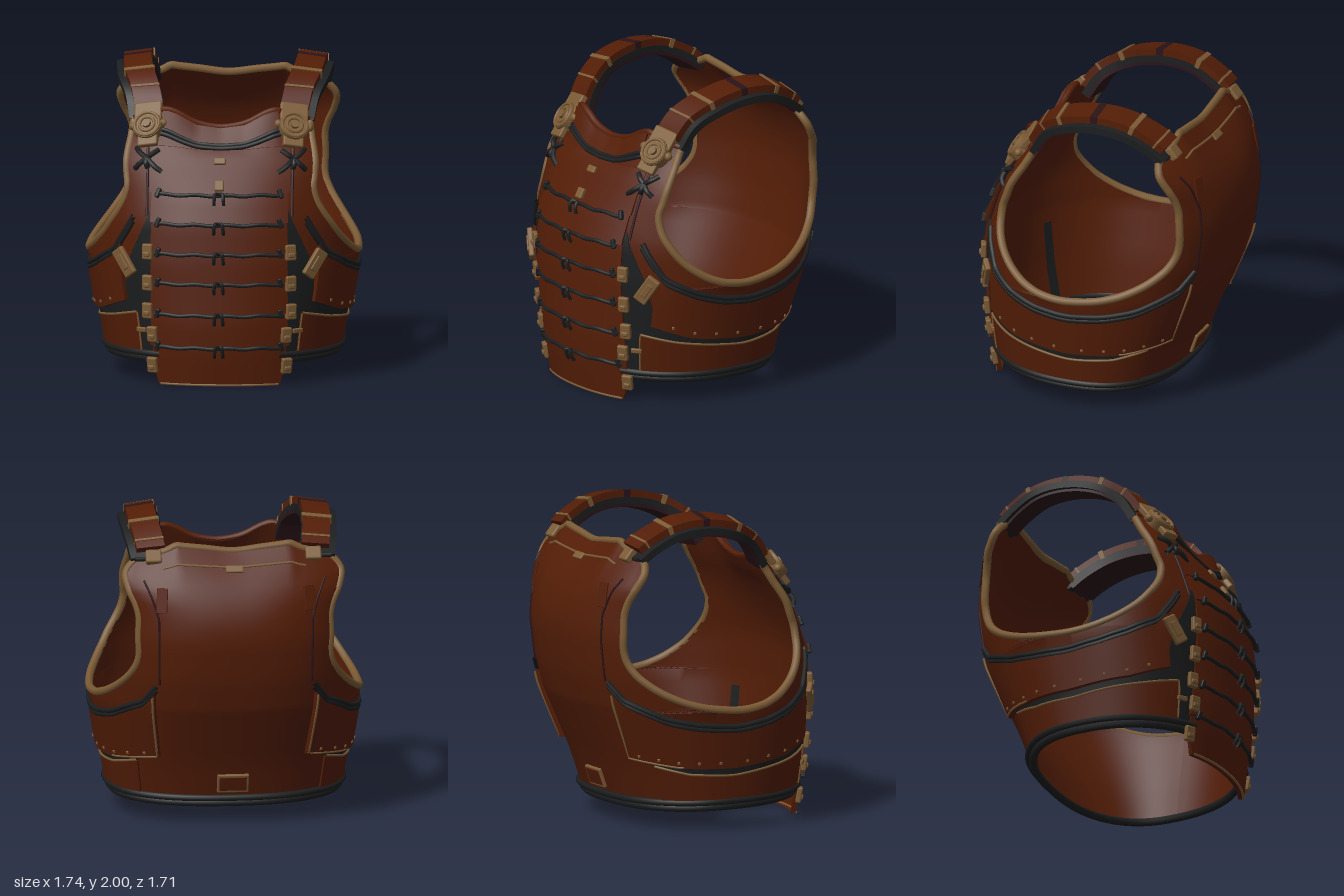
import * as THREE from 'three';
import { toCreasedNormals } from 'three/addons/utils/BufferGeometryUtils.js';
import { RoundedBoxGeometry } from 'three/addons/geometries/RoundedBoxGeometry.js';

const V = (x, y, z) => new THREE.Vector3(x, y, z);
const PI = Math.PI, ZC = 0.05;
const clamp = THREE.MathUtils.clamp, lerp = THREE.MathUtils.lerp;
// piecewise linear curve through [input, output] pairs
const curve = (...k) => t => {
  if (t <= k[0][0]) return k[0][1];
  for (let i = 1; i < k.length; i++)
    if (t <= k[i][0]) return lerp(k[i - 1][1], k[i][1], (t - k[i - 1][0]) / (k[i][0] - k[i - 1][0]));
  return k[k.length - 1][1];
};

// torso profiles by height: half widths, depths, roundness and armhole edges
const widthF = curve([0, 0.72], [0.15, 0.735], [0.4, 0.775], [0.6, 0.82], [0.78, 0.86], [1, 0.865], [1.25, 0.85], [1.4, 0.82], [1.55, 0.73], [1.65, 0.67], [1.75, 0.65]);
const widthB = curve([0, 0.72], [0.15, 0.735], [0.4, 0.775], [0.6, 0.82], [0.78, 0.86], [1, 0.875], [1.5, 0.87], [1.65, 0.9], [1.8, 0.9]);
const depthF = curve([0, 0.71], [0.2, 0.75], [0.4, 0.775], [0.8, 0.785], [1.05, 0.775], [1.2, 0.725], [1.4, 0.62], [1.55, 0.53], [1.72, 0.46]);
const depthB = curve([0.12, 0.48], [0.2, 0.51], [0.4, 0.59], [0.6, 0.68], [0.8, 0.77], [1, 0.825], [1.25, 0.855], [1.4, 0.84], [1.55, 0.78], [1.65, 0.71], [1.72, 0.65], [1.8, 0.58]);
const roundF = curve([1.2, 2.2], [1.65, 3]);
const roundB = curve([0.78, 2.4], [1.4, 2.5], [1.65, 3.2], [1.8, 4]);
const holeF = curve([0.78, 0.05], [0.785, 0.128], [0.8, 0.206], [0.825, 0.28], [0.85, 0.335], [0.9, 0.41], [0.95, 0.465], [1.02, 0.515], [1.1, 0.55], [1.17, 0.56], [1.25, 0.555], [1.4, 0.5], [1.55, 0.42], [1.7, 0.35]);
const holeB = curve([0.78, 0.05], [0.785, -0.062], [0.8, -0.17], [0.825, -0.28], [0.85, -0.355], [0.9, -0.46], [0.95, -0.535], [1.02, -0.61], [1.1, -0.655], [1.2, -0.68], [1.4, -0.67], [1.5, -0.65], [1.6, -0.61], [1.7, -0.57], [1.8, -0.54]);
const neckF = curve([0, -0.09], [0.15, -0.07], [0.28, 0], [0.35, 0.02], [0.55, -0.05]);
const neckB = curve([0, -0.01], [0.36, 0.03], [0.42, 0], [0.64, -0.07]);
const power = (v, e) => Math.sign(v) * Math.abs(v) ** e;

// point on the torso: angle a from the front centre towards +x, height y, distance off the skin
function at(a, y, off = 0) {
  const c = Math.cos(a), front = c >= 0, n = (front ? roundF : roundB)(y);
  const x = ((front ? widthF : widthB)(y) + off) * power(Math.sin(a), 2 / n);
  const z = ZC + ((front ? depthF(y) - ZC : depthB(y) + ZC) + off) * power(c, 2 / n);
  const top = front ? clamp((y - 1.45) / 0.25, 0, 1) * neckF(Math.abs(x)) : clamp((y - 1.55) / 0.25, 0, 1) * neckB(Math.abs(x));
  return V(x, y + top - 0.014 * (1 - c) * clamp((0.37 - y) / 0.2, 0, 1), z);
}
// angle on the front that gives a certain x
const ax = (x, y) => Math.asin(power(clamp(x / widthF(y), -1, 1), roundF(y) / 2));
const edgeF = y => y <= 0.78 ? PI / 2 : Math.acos(((holeF(y) - ZC) / (depthF(y) - ZC)) ** (roundF(y) / 2));
const edgeB = y => y <= 0.78 ? PI / 2 : Math.acos(clamp((ZC - holeB(y)) / (depthB(y) + ZC), 0, 1) ** (roundB(y) / 2));

export function createModel() {
  const model = new THREE.Group();
  const mat = (name, color) => Object.assign(new THREE.MeshStandardMaterial({ color, side: THREE.DoubleSide }), { name });
  const leather = mat('leather', 0x531d06), brass = mat('brass', 0x7b5b35);
  const cloth = mat('dark cloth', 0x1c1d1e), lining = mat('plum lining', 0x2a1318);

  const add = (name, geo, m, parent = model) => {
    const mesh = new THREE.Mesh(geo, m);
    mesh.name = name;
    parent.add(mesh);
    return mesh;
  };
  // surface from a grid of points
  function grid(name, m, nu, nv, fn) {
    const pos = [], idx = [];
    for (let j = 0; j <= nv; j++) for (let i = 0; i <= nu; i++) pos.push(...fn(i, j).toArray());
    for (let j = 0; j < nv; j++) for (let i = 0; i < nu; i++) {
      const p = j * (nu + 1) + i, q = p + nu + 1;
      idx.push(p, p + 1, q, p + 1, q + 1, q);
    }
    const g = new THREE.BufferGeometry();
    g.setAttribute('position', new THREE.Float32BufferAttribute(pos, 3));
    g.setIndex(idx);
    return add(name, toCreasedNormals(g, 0.6), m);
  }
  // raised plate on the torso with edges turned down to the skin; fn(u, v) gives [angle, height]
  const plate = (name, m, fn, off, nu = 24, nv = 6, flare = 0) => grid(name, m, nu + 2, nv + 2, (i, j) => {
    const u = clamp((i - 1) / nu, 0, 1), v = clamp((j - 1) / nv, 0, 1);
    const rim = i === 0 || j === 0 || i === nu + 2 || j === nv + 2;
    return at(...fn(u, v), rim ? -0.004 : off + flare * (1 - v));
  });
  const tube = (name, m, pts, r, closed = false) =>
    add(name, new THREE.TubeGeometry(new THREE.CatmullRomCurve3(pts, closed), pts.length * 4, r, 7, closed), m);
  const line = (n, fn) => Array.from({ length: n + 1 }, (_, i) => fn(i / n));
  // set an object on the torso, facing outwards
  function place(obj, a, y, off, roll = 0) {
    const t = at(a + 0.04, y).sub(at(a - 0.04, y)).normalize();
    const n = t.clone().cross(at(a, y + 0.02).sub(at(a, y - 0.02))).normalize();
    obj.quaternion.setFromRotationMatrix(new THREE.Matrix4().makeBasis(t, n.clone().cross(t), n));
    obj.rotateZ(roll);
    obj.position.copy(at(a, y, off));
    return obj;
  }
  const block = (name, m, w, h, d, a, y, off, roll) =>
    place(add(name, new RoundedBoxGeometry(w, h, d, 2, Math.min(w, h, d) * 0.3), m), a, y, off, roll);

  // torso shell, outer and inner faces
  const rows = [0.17, 0.25, 0.33, 0.4, 0.5, 0.6, 0.7, 0.78, 0.785, 0.8, 0.825, 0.85, 0.9, 0.95, 1.02, 1.1, 1.17, 1.25, 1.32, 1.4, 1.48, 1.55, 1.6, 1.65, 1.7];
  const backRows = [...rows, 1.75, 1.8];
  for (const [side, off] of [['outer', 0], ['inner', -0.035]]) {
    grid(side + 'FrontShell', leather, 56, rows.length - 1, (i, j) => at((i / 28 - 1) * edgeF(rows[j]), rows[j], off));
    grid(side + 'BackShell', leather, 56, backRows.length - 1, (i, j) => at(PI + (i / 28 - 1) * edgeB(backRows[j]), backRows[j], off));
  }
  for (const [y, off, r] of [[0.168, -0.014, 0.026], [0.2, 0.006, 0.021]])
    tube('hemCord', cloth, line(48, t => at(lerp(0.48, 2 * PI - 0.48, t), y, off)), r);
  tube('frontHem', leather, line(12, t => at(lerp(-0.5, 0.5, t), 0.17, -0.016)), 0.019);
  tube('backNeckRim', brass, line(24, t => at(PI + (2 * t - 1) * edgeB(1.8), 1.8, -0.015)), 0.025);
  tube('frontNeckRim', leather, line(24, t => at((2 * t - 1) * edgeF(1.7), 1.7, -0.012)), 0.022);

  // collar, chest plate and the laced front plates
  const collarLow = t => 1.6 - 0.06 * (1 - (2 * t - 1) ** 2);
  plate('collar', leather, (u, v) => { const y = lerp(collarLow(u) + 0.015, 1.7, v); return [ax(lerp(-0.35, 0.35, u), y), y]; }, 0.026);
  for (const d of [0, -0.025])
    tube('collarCord', cloth, line(16, t => { const y = collarLow(t) + d; return at(ax(lerp(-0.38, 0.38, t), y), y, 0.015); }), 0.014);
  plate('chestPlate', leather, (u, v) => { const y = lerp(1.23, 1.5, v); return [ax(lerp(-0.43, 0.43, u), y), y]; }, 0.012, 24, 8, 0.012);
  const seams = [1.23, 1.05, 0.86, 0.67, 0.47, 0.26, 0.01];
  for (let k = 0; k < 6; k++) {
    const half = k === 5 ? y => lerp(0.36, 0.41, clamp(y / 0.15, 0, 1)) : () => 0.42;
    plate('frontPlate', leather, (u, v) => {
      const y = lerp(seams[k + 1], seams[k] + 0.01, v);
      return [ax((2 * u - 1) * half(y), y), y];
    }, 0.014, 24, 4, 0.018);
    // cord along the seam, end knots and a centre bow
    const y = seams[k];
    tube('seamCord', cloth, line(20, t => at(ax(lerp(-0.39, 0.39, t), y), y - 0.008 + 0.004 * Math.sin(t * 25), 0.034)), 0.013);
    for (const s of [1, -1]) {
      block('cordKnot', cloth, 0.028, 0.062, 0.03, ax(0.37 * s, y), y, 0.036, 0.3 * s);
      tube('bowEnd', cloth, [at(0, y, 0.04), at(0.015 * s, y + 0.005, 0.06), at(0.022 * s, y - 0.03, 0.058), at(0.024 * s, y - 0.065, 0.04)], 0.011);
    }
  }
  tube('bottomTrim', brass, line(16, t => at(ax(lerp(-0.355, 0.355, t), 0.01), 0.012, 0.03)), 0.008);
  block('chestClasp', brass, 0.06, 0.07, 0.03, 0, 1.28, 0.035);
  block('chestStud', brass, 0.075, 0.045, 0.03, 0, 1.42, 0.018);

  // side plate outlines by angle
  const bandLine = curve([0.62, 1.08], [0.7, 0.98], [0.85, 0.83], [1.12, 0.74], [1.35, 0.69], [1.6, 0.66], [1.87, 0.68], [2.13, 0.72], [2.5, 0.84], [2.62, 0.95]);
  const upperLow = curve([0.72, 0.54], [1.12, 0.45], [1.6, 0.405], [2.1, 0.415], [2.6, 0.46]);
  const lowerTop = curve([0.64, 0.47], [1.0, 0.42], [1.6, 0.36], [2.0, 0.375], [2.4, 0.43]);
  const clothEdge = curve([0.17, 0.54], [0.5, 0.6], [0.8, 0.57], [1.12, 0.43]);

  for (const s of [1, -1]) {
    // armhole rim
    const frontEdge = rows.filter(y => y > 0.79).reverse().map(y => at(s * edgeF(y), y, -0.013));
    const backEdge = backRows.filter(y => y > 0.79).map(y => at(PI - s * edgeB(y), y, -0.013));
    tube('armholeRim', brass, [...frontEdge, at(s * PI / 2, 0.78, -0.013), ...backEdge], 0.026);

    // dark cloth beside the front plates, on the inside, and under the upper side plate
    plate('sideCloth', cloth, (u, v) => { const y = lerp(0.19, 1.12, v); return [s * ax(lerp(0.4, clothEdge(y), u), y), y]; }, 0.008, 6, 14);
    grid('innerCloth', cloth, 3, 8, (i, j) => { const y = lerp(0.18, 0.7, j / 8); return at(s * ax(0.42 + i * 0.02, y), y, -0.04); });
    plate('sideBand', cloth, (u, v) => { const a = lerp(0.68, 2.4, u); return [s * a, lerp(lowerTop(a), upperLow(a) + 0.03, v)]; }, 0.008, 30, 2);
    plate('upperSidePlate', leather, (u, v) => {
      const a = lerp(0.76, 2.6, u);
      return [s * a, lerp(upperLow(a), bandLine(a) - 0.025, v)];
    }, 0.022, 36, 5, 0.014);
    plate('lowerSidePlate', leather, (u, v) => { const a = lerp(0.66, 2.35, u); return [s * a, lerp(0.2, lowerTop(a), v)]; }, 0.012, 32, 4);
    for (const d of [0, 0.028])
      tube('sideCord', cloth, line(30, t => { const a = lerp(0.64, 2.62, t); return at(s * a, bandLine(a) + d - 0.012, 0.008); }), 0.017);
    tube('backSeam', lining, line(16, t => at(s * 2.64, lerp(0.97, 1.65, t), 0.003)), 0.007);
    tube('chestSeam', lining, line(12, t => { const y = lerp(1.08, 1.55, t); return at(s * ax(0.455, y), y, 0.003); }), 0.009);
    tube('lowerPlateTrim', brass, line(24, t => { const a = lerp(0.67, 2.35, t); return at(s * a, lowerTop(a) - 0.004, 0.014); }), 0.008);
    tube('lowerPlateEdge', brass, line(4, t => at(s * 0.67, lerp(0.22, 0.46, t), 0.014)), 0.006);
    // brass edging at the back end of the upper plate
    tube('upperPlateTrim', brass, line(6, t => at(s * 2.59, lerp(0.47, 0.88, t), 0.03)), 0.008);
    tube('upperPlateLowerTrim', brass, line(10, t => { const a = lerp(2.05, 2.59, t); return at(s * a, upperLow(a) + 0.006, 0.035); }), 0.007);
    for (let k = 0; k < 9; k++) {
      const a = 0.95 + k * 0.19;
      block('stud', brass, 0.018, 0.018, 0.012, s * a, upperLow(a) + 0.035, 0.036);
    }
    // brass fittings
    block('sideBuckle', brass, 0.09, 0.19, 0.035, s * 0.7, 0.78, 0.035, -0.6 * s);
    block('buckleRidge', brass, 0.04, 0.1, 0.02, s * 0.7, 0.78, 0.05, -0.6 * s);
    for (const y of [0.86, 0.66, 0.48, 0.33, 0.13]) {
      const a = s * ax(y < 0.4 ? 0.405 : 0.435, y);
      block('plateTab', brass, 0.07, 0.1, 0.035, a, y, 0.03);
      block('plateTabRidge', brass, 0.045, 0.03, 0.03, a, y - 0.015, 0.043);
    }
    block('sideTab', brass, 0.07, 0.03, 0.02, s * ax(0.48, 0.35), 0.35, 0.018);

    // medallion at the shoulder
    const medal = new THREE.Group();
    medal.name = 'medallion';
    medal.position.set(0.455 * s, 1.61, 0.465);
    medal.rotation.set(-0.65, 0.25 * s, 0);
    model.add(medal);
    const disc = (r, h, z) => {
      const d = add('medallionDisc', new THREE.CylinderGeometry(r * 0.94, r, h, 20), brass, medal);
      d.rotation.x = PI / 2;
      d.position.z = z;
    };
    disc(0.1, 0.06, 0.015);
    disc(0.028, 0.03, 0.05);
    for (const r of [0.08, 0.048]) add('medallionRing', new THREE.TorusGeometry(r, 0.011, 8, 24), brass, medal).position.z = 0.045;
    add('medallionUpperPlate', new RoundedBoxGeometry(0.18, 0.13, 0.045, 2, 0.012), brass, medal).position.set(0, 0.1, 0.01);
    add('medallionLowerPlate', new RoundedBoxGeometry(0.13, 0.1, 0.04, 2, 0.01), brass, medal).position.set(0, -0.09, 0.01);
    for (const k of [-1, 1]) add('medallionLug', new THREE.SphereGeometry(0.027, 10, 8), brass, medal).position.set(0.1 * k, 0.01, 0.015);
    // crossed laces below it
    for (const [x, y] of [[0.36, 1.35], [0.53, 1.36], [0.38, 1.48], [0.52, 1.49], [0.45, 1.37]])
      tube('lace', cloth, [at(s * ax(0.45, 1.43), 1.43, 0.022), at(s * ax((x + 0.45) / 2, (y + 1.43) / 2), (y + 1.43) / 2, 0.03), at(s * ax(x, y), y, 0.012)], 0.017);

    // shoulder strap: layered bands swept over the shoulder, tilted down towards the outside
    const path = new THREE.CatmullRomCurve3([V(0.45, 1.64, 0.36), V(0.48, 1.78, 0.27), V(0.53, 1.87, 0.12), V(0.55, 1.915, -0.1), V(0.55, 1.895, -0.3), V(0.53, 1.82, -0.46), V(0.515, 1.745, -0.56)]);
    const band = (name, m, u0, u1, w, t, lift, shift = 0) => {
      const n = Math.max(2, Math.round((u1 - u0) * 28));
      const corner = [[-1, -1], [1, -1], [1, 1], [-1, 1], [-1, -1]];
      grid(name, m, n + 2, 4, (i, j) => {
        const u = lerp(u0, u1, clamp((i - 1) / n, 0, 1)), k = i === 0 || i === n + 2 ? 0 : 0.5;
        const p = path.getPointAt(u), nrm = V(1, 0, 0).cross(path.getTangentAt(u)).normalize();
        const side = shift + corner[j][0] * w * k;
        p.addScaledVector(nrm, lift + corner[j][1] * t * k - side * 0.14);
        p.x = (p.x + side) * s;
        return p;
      });
    };
    band('strapLining', lining, 0, 0.99, 0.19, 0.02, -0.025);
    band('strapPadding', cloth, 0, 1, 0.225, 0.045, 0.005, 0.018);
    band('strapLeather', leather, 0.04, 0.96, 0.175, 0.05, 0.048);
    for (const u of [0.3, 0.74]) band('strapClamp', brass, u, u + 0.025, 0.19, 0.06, 0.05);
    for (const u of [0.17, 0.9]) band('strapClamp', brass, u, u + 0.012, 0.18, 0.056, 0.05);
    band('strapStitch', lining, 0.51, 0.55, 0.178, 0.053, 0.048);
    // strap buckle and tab on the back
    const buckle = add('backBuckle', new RoundedBoxGeometry(0.1, 0.09, 0.05, 2, 0.012), brass);
    buckle.position.set(0.505 * s, 1.765, -0.585);
    buckle.rotation.x = 0.7;
    const pin = add('backBucklePin', new THREE.CylinderGeometry(0.014, 0.014, 0.2, 8), cloth);
    pin.position.set(0.52 * s, 1.75, -0.57);
    pin.rotation.z = PI / 2;
    block('backTab', leather, 0.07, 0.16, 0.012, PI - s * 0.42, 1.52, 0.003);
  }

  // back trim and the small pouch above the hem
  tube('backTrim', brass, line(24, t => at(PI + lerp(-0.3, 0.3, t), 1.71, 0.002)), 0.008);
  block('backTrimStud', brass, 0.11, 0.05, 0.025, PI, 1.7, 0.002);
  block('pouchFrame', brass, 0.2, 0.13, 0.026, PI, 0.29, 0.004);
  block('pouchFlap', leather, 0.172, 0.102, 0.022, PI, 0.29, 0.01);
  return model;
}
